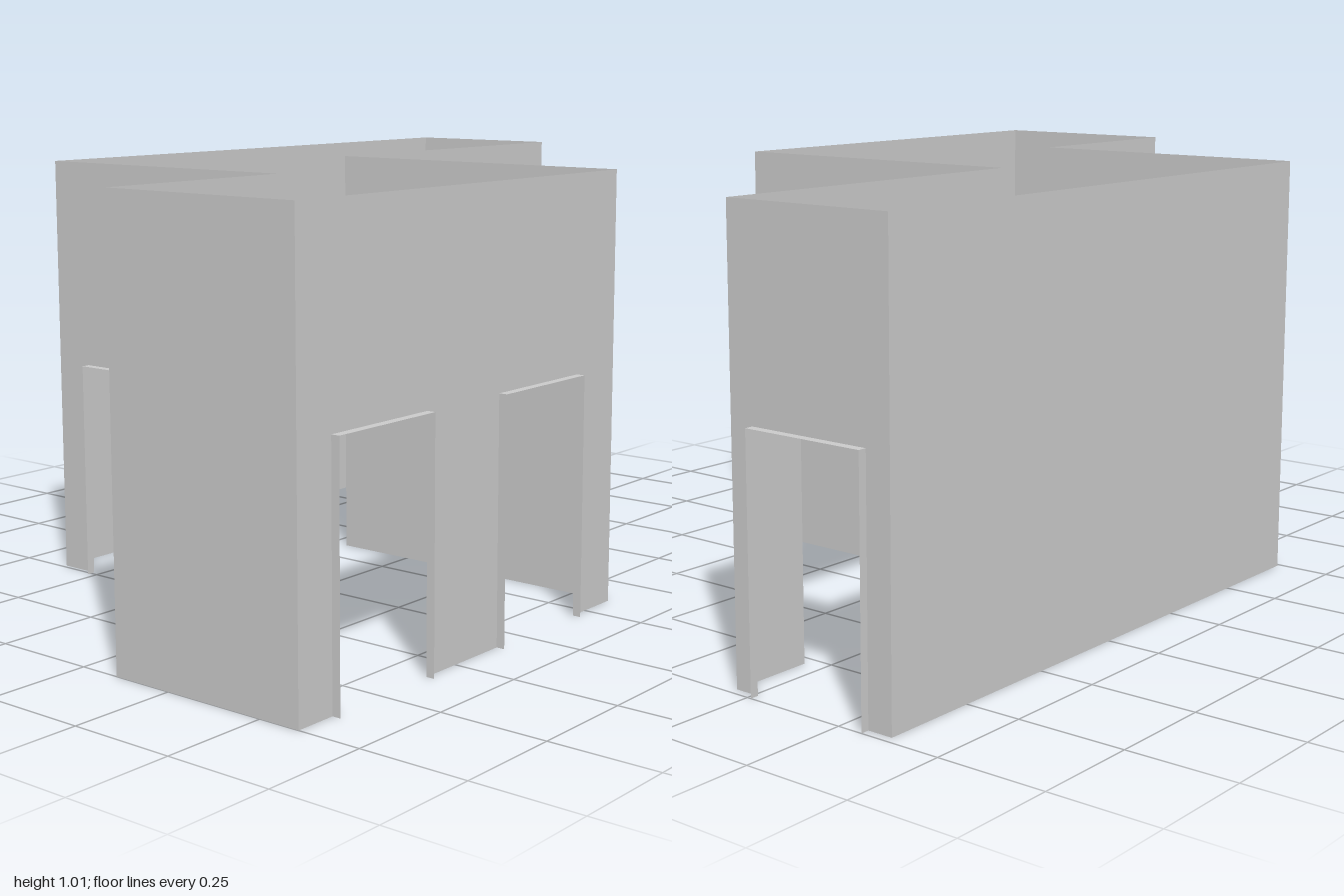
import * as THREE from 'three';

const HEIGHT = 1.01;
const material = new THREE.MeshStandardMaterial({ color: 0xcccccc, side: THREE.DoubleSide, flatShading: true });

// Floor plan, anticlockwise from above. Each wall runs from its corner to the next;
// a door is [start along wall, end along wall, height, reveal depth].
const walls = [
  { name: 'frontWall', corner: [-0.62, 0.49], doors: [[0.10, 0.35, 0.52, 0.02]] },
  { name: 'frontRecessWall', corner: [0.10, 0.49], doors: [] },
  { name: 'frontBayWall', corner: [0.10, 1], doors: [] },
  { name: 'sideWall', corner: [0.60, 1], doors: [[0.10, 0.40, 0.56, 0.02], [0.65, 0.95, 0.56, 0.02]] },
  { name: 'backBayWall', corner: [0.60, -0.10], doors: [] },
  { name: 'backRecessWall', corner: [-0.20, -0.10], doors: [[0.28, 0.68, 0.635, 0.042]] },
  { name: 'backWall', corner: [-0.20, -0.98], doors: [[0.06, 0.36, 0.56, 0.02]] },
  { name: 'longWall', corner: [-0.62, -0.98], doors: [] },
];

// Thin wall sheet with door notches cut up from the floor
function wallSheet(length, doors) {
  const s = new THREE.Shape();
  s.moveTo(0, 0);
  for (const [a, b, h] of doors) {
    s.lineTo(a, 0);
    s.lineTo(a, h);
    s.lineTo(b, h);
    s.lineTo(b, 0);
  }
  s.lineTo(length, 0);
  s.lineTo(length, HEIGHT);
  s.lineTo(0, HEIGHT);
  return new THREE.Mesh(new THREE.ShapeGeometry(s), material);
}

// Two jambs and a lintel standing out from the wall face
function doorReveal([a, b, h, depth]) {
  const reveal = new THREE.Group();
  reveal.name = 'doorReveal';
  for (const x of [a, b]) {
    const jamb = new THREE.Mesh(new THREE.PlaneGeometry(depth, h), material);
    jamb.name = 'jamb';
    jamb.rotation.y = x === a ? Math.PI / 2 : -Math.PI / 2;
    jamb.position.set(x, h / 2, depth / 2);
    reveal.add(jamb);
  }
  const lintel = new THREE.Mesh(new THREE.PlaneGeometry(b - a, depth), material);
  lintel.name = 'lintel';
  lintel.rotation.x = Math.PI / 2;
  lintel.position.set((a + b) / 2, h, depth / 2);
  reveal.add(lintel);
  return reveal;
}

export function createModel() {
  const model = new THREE.Group();
  model.name = 'roomWalls';
  walls.forEach(({ name, corner: [x, z], doors }, i) => {
    const [nx, nz] = walls[(i + 1) % walls.length].corner;
    // Local x runs along the wall, local z points outward
    const wall = new THREE.Group();
    wall.name = name;
    wall.position.set(x, 0, z);
    wall.rotation.y = Math.atan2(z - nz, nx - x);
    const sheet = wallSheet(Math.hypot(nx - x, nz - z), doors);
    sheet.name = name + 'Sheet';
    wall.add(sheet, ...doors.map(doorReveal));
    model.add(wall);
  });
  return model;
}
